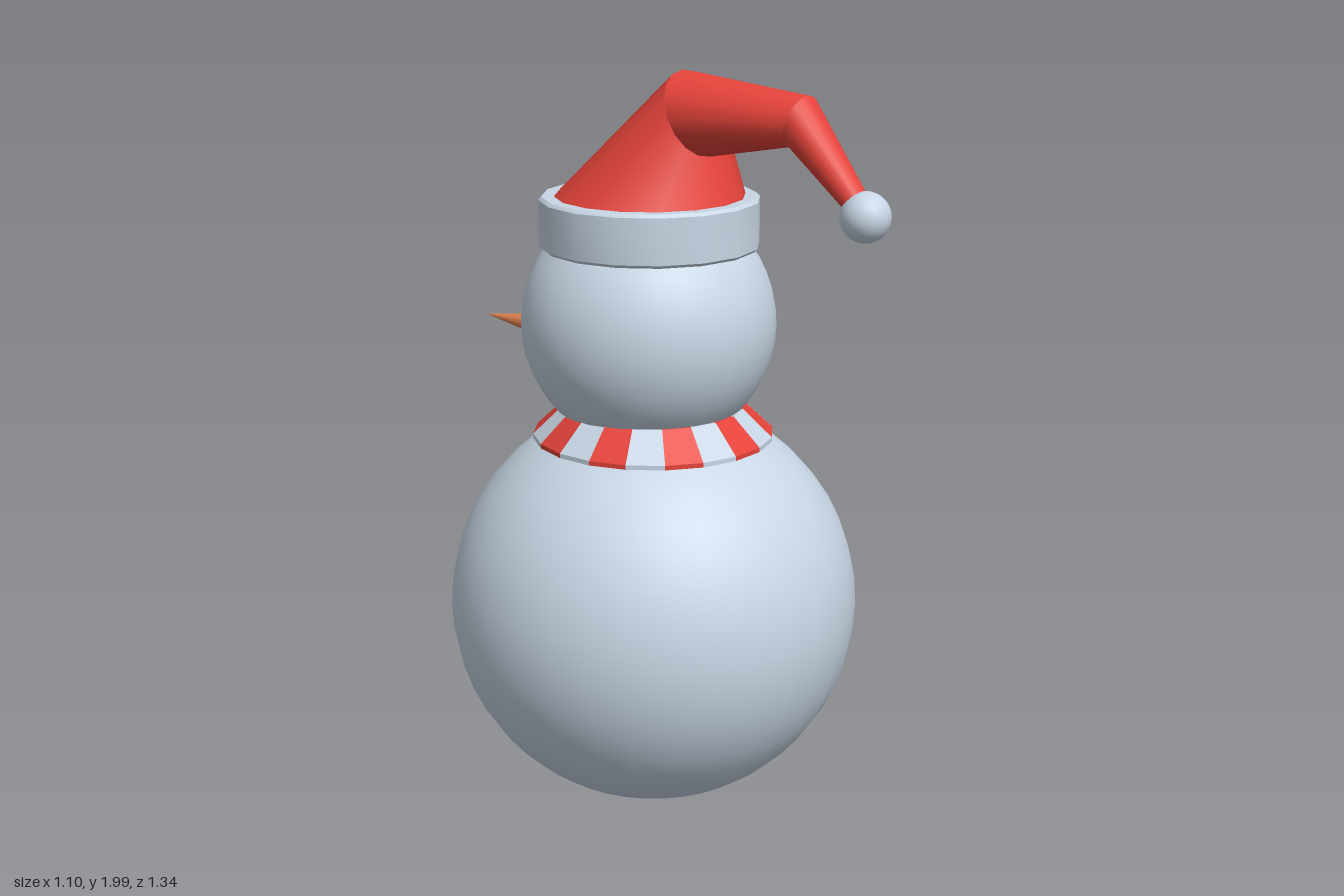
import * as THREE from 'three';
import { toCreasedNormals } from 'three/addons/utils/BufferGeometryUtils.js';

const mat = (name, color) => Object.assign(new THREE.MeshStandardMaterial({ color }), { name });

// Smooth sleeve between two rings { y, z, r, a }, a being the lean from upright towards +z
function sleeve(p, q, sides = 16) {
  const pos = [], idx = [];
  for (const { y, z, r, a } of [p, q]) {
    for (let i = 0; i < sides; i++) {
      const t = (i / sides) * Math.PI * 2, u = r * Math.sin(t);
      pos.push(r * Math.cos(t), y - u * Math.sin(a), z + u * Math.cos(a));
    }
  }
  for (let i = 0; i < sides; i++) {
    const j = (i + 1) % sides;
    idx.push(i, i + sides, j, j, i + sides, j + sides);
  }
  const geo = new THREE.BufferGeometry();
  geo.setAttribute('position', new THREE.Float32BufferAttribute(pos, 3));
  geo.setIndex(idx);
  geo.computeVertexNormals();
  return geo;
}

const profile = (pts) => pts.map(([x, y]) => new THREE.Vector2(x, y));

export function createModel() {
  const model = new THREE.Group();
  model.name = 'snowman';
  const snow = mat('snow', 0xc8d6e5);
  const red = mat('red', 0xe5433a);
  const orange = mat('carrot', 0xe08050);
  const coal = mat('coal', 0x1c1c1c);

  const add = (name, geo, material, x = 0, y = 0, z = 0, parent = model) => {
    const mesh = new THREE.Mesh(geo, material);
    mesh.name = name;
    mesh.position.set(x, y, z);
    parent.add(mesh);
    return mesh;
  };

  // Snowballs
  const bodyC = new THREE.Vector3(0, 0.557, -0.057), bodyR = 0.552;
  const headC = new THREE.Vector3(0, 1.33, -0.072), headR = 0.338;
  add('body', new THREE.SphereGeometry(bodyR, 32, 24), snow, ...bodyC);
  add('head', new THREE.SphereGeometry(headR, 32, 24), snow, ...headC);

  // Flattened coal set on a snowball, facing outwards
  const pebble = (name, centre, dir, radius, sx, sy, sz) => {
    const d = dir.normalize();
    const p = centre.clone().addScaledVector(d, radius);
    const m = add(name, new THREE.SphereGeometry(1, 16, 12), coal, ...p);
    m.scale.set(sx, sy, sz);
    m.lookAt(p.clone().add(d));
  };
  for (const [i, deg] of [27.5, 0, -27.5].entries()) {
    const a = THREE.MathUtils.degToRad(deg);
    pebble(`button${i + 1}`, bodyC, new THREE.Vector3(0, Math.sin(a), -Math.cos(a)), bodyR - 0.003, 0.063, 0.063, 0.032);
  }
  for (const s of [-1, 1]) {
    pebble(s < 0 ? 'rightEye' : 'leftEye', headC, new THREE.Vector3(s * 0.1, 0.027, -0.32), headR - 0.003, 0.034, 0.04, 0.015);
  }

  // Smile following the curve of the head
  const smile = [];
  for (let i = -4; i <= 4; i++) {
    const x = (i / 4) * 0.115, y = -0.195 + 0.07 * (i / 4) ** 2;
    smile.push(new THREE.Vector3(x, y, -Math.sqrt(headR ** 2 - x * x - y * y)).add(headC));
  }
  add('mouth', new THREE.TubeGeometry(new THREE.CatmullRomCurve3(smile), 24, 0.011, 8), coal);

  // Carrot nose
  add('nose', new THREE.ConeGeometry(0.046, 0.3, 16).rotateX(-Math.PI / 2), orange, 0, 1.26, -0.517);

  // Striped collar scarf, one facet per stripe
  const scarf = new THREE.Group();
  scarf.name = 'scarf';
  scarf.position.z = -0.057;
  model.add(scarf);
  const scarfPts = profile([[0.22, 1.02], [0.322, 1.02], [0.322, 1.032], [0.245, 1.105], [0.2, 1.105]]);
  const stripes = 20, step = (Math.PI * 2) / stripes;
  for (let i = 0; i < stripes; i++) {
    const geo = toCreasedNormals(new THREE.LatheGeometry(scarfPts, 1, (i - 0.5) * step, step), 0.3);
    add('scarfStripe', geo, i % 2 ? snow : red, 0, 0, 0, scarf);
  }

  // Hat trim
  const trimPts = profile([[0.2, 1.532], [0.282, 1.532], [0.29, 1.54], [0.29, 1.66], [0.282, 1.668], [0.2, 1.668]]);
  add('hatTrim', toCreasedNormals(new THREE.LatheGeometry(trimPts, 16), 0.5), snow, 0, 0, -0.068);

  // Drooping hat in three sleeves
  const rings = [
    { y: 1.66, z: -0.07, r: 0.255, a: 0 },
    { y: 1.893, z: 0.085, r: 0.115, a: 1.166 },
    { y: 1.902, z: 0.41, r: 0.067, a: 1.88 },
    { y: 1.7, z: 0.6, r: 0.03, a: 2.38 },
  ];
  for (let i = 0; i < 3; i++) {
    add(['hatCrown', 'hatFold', 'hatTip'][i], sleeve(rings[i], rings[i + 1]), red);
  }
  add('pompom', new THREE.SphereGeometry(0.063, 20, 14), snow, 0, 1.69, 0.607);

  return model;
}
